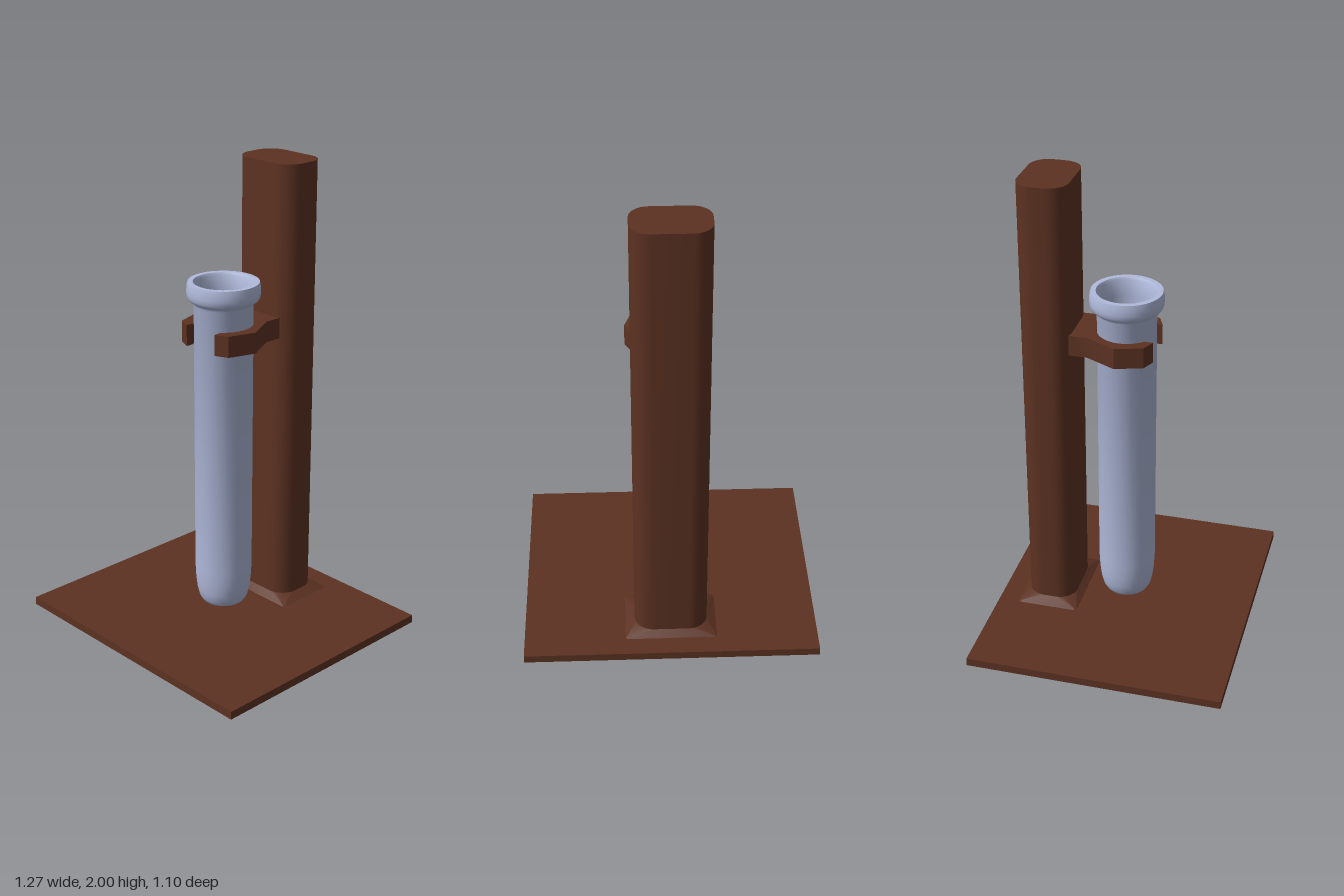
import * as THREE from 'three';
import { toCreasedNormals } from 'three/addons/utils/BufferGeometryUtils.js';

const material = (color) => new THREE.MeshStandardMaterial({ color });

// Outline of a rounded rectangle, always the same number of points
function roundedRect(hx, hz, r, steps = 8) {
  const points = [];
  [[1, 1], [-1, 1], [-1, -1], [1, -1]].forEach(([sx, sz], corner) => {
    for (let i = 0; i <= steps; i++) {
      const a = (corner + i / steps) * Math.PI / 2;
      points.push([sx * (hx - r) + r * Math.cos(a), sz * (hz - r) + r * Math.sin(a)]);
    }
  });
  return points;
}

// Skin stacked sections [y, halfX, halfZ, cornerRadius] and close both ends
function loft(sections) {
  const positions = [], index = [];
  const rings = sections.map(([y, hx, hz, r]) => roundedRect(hx, hz, r).map(([x, z]) => [x, y, z]));
  const n = rings[0].length;
  rings.forEach((ring) => ring.forEach((p) => positions.push(...p)));
  for (let k = 0; k < rings.length - 1; k++) {
    for (let i = 0; i < n; i++) {
      const a = k * n + i, b = k * n + (i + 1) % n;
      index.push(a, a + n, b, b, a + n, b + n);
    }
  }
  const top = (rings.length - 1) * n;
  for (let i = 1; i < n - 1; i++) {
    index.push(0, i, i + 1);
    index.push(top, top + i + 1, top + i);
  }
  const geometry = new THREE.BufferGeometry();
  geometry.setAttribute('position', new THREE.Float32BufferAttribute(positions, 3));
  geometry.setIndex(index);
  return toCreasedNormals(geometry, 0.6);
}

const lathe = (points, crease) => toCreasedNormals(
  new THREE.LatheGeometry(points.map(([r, y]) => new THREE.Vector2(r, y)), 48), crease);

export function createModel() {
  const model = new THREE.Group();
  const wood = material(0x5c3222);
  const glass = material(0xb0badb);
  const red = material(0xd3242a);
  const tubeZ = -0.01;

  const add = (name, geometry, mat, y = 0, z = 0) => {
    const mesh = new THREE.Mesh(geometry, mat);
    mesh.name = name;
    mesh.position.set(0, y, z);
    model.add(mesh);
    return mesh;
  };

  // Base board
  add('base', new THREE.BoxGeometry(1.266, 0.035, 1.1), wood, 0.0175);

  // Upright post with a flared foot
  add('post', loft([
    [0.03, 0.205, 0.14, 0.01],
    [0.04, 0.19, 0.13, 0.015],
    [0.062, 0.157, 0.107, 0.08],
    [2, 0.157, 0.107, 0.08],
  ]), wood, 0, -0.327);

  // Open clamp: faceted outside, round inside, gap at the front
  const clamp = new THREE.Shape();
  const outer = [[0.11, 0.25], [0.11, 0.15], [0.177, 0.02], [0.14, -0.095], [0.083, -0.12]];
  outer.forEach(([x, y], i) => (i ? clamp.lineTo(x, y) : clamp.moveTo(x, y)));
  const innerR = 0.124, gap = Math.asin(0.083 / innerR);
  clamp.absarc(0, -tubeZ, innerR, -Math.PI / 2 + gap, Math.PI * 1.5 - gap, false);
  outer.slice().reverse().forEach(([x, y]) => clamp.lineTo(-x, y));
  const clampGeometry = new THREE.ExtrudeGeometry(clamp, { depth: 0.09, bevelEnabled: false, curveSegments: 32 });
  clampGeometry.rotateX(-Math.PI / 2);
  add('clamp', toCreasedNormals(clampGeometry, 0.5), wood, 1.265);

  // Hollow tube: outside, rolled lip, then inside wall down to the floor
  add('testTube', lathe([
    [0, 0.075], [0.075, 0.075], [0.093, 0.083], [0.105, 0.103], [0.114, 0.14], [0.12, 0.19], [0.123, 0.25],
    [0.123, 1.44], [0.13, 1.452], [0.144, 1.46], [0.151, 1.473], [0.153, 1.49], [0.152, 1.518],
    [0.148, 1.535], [0.126, 1.535], [0.12, 1.525], [0.114, 1.46],
    [0.114, 0.2], [0.1, 0.13], [0.07, 0.1], [0, 0.095],
  ], 0.9), glass, 0, tubeZ);

  // Liquid filling the tube
  add('liquid', lathe([
    [0, 0.098], [0.068, 0.103], [0.098, 0.133], [0.113, 0.2], [0.113, 1.0], [0, 1.0],
  ], 0.9), red, 0, tubeZ);

  return model;
}
